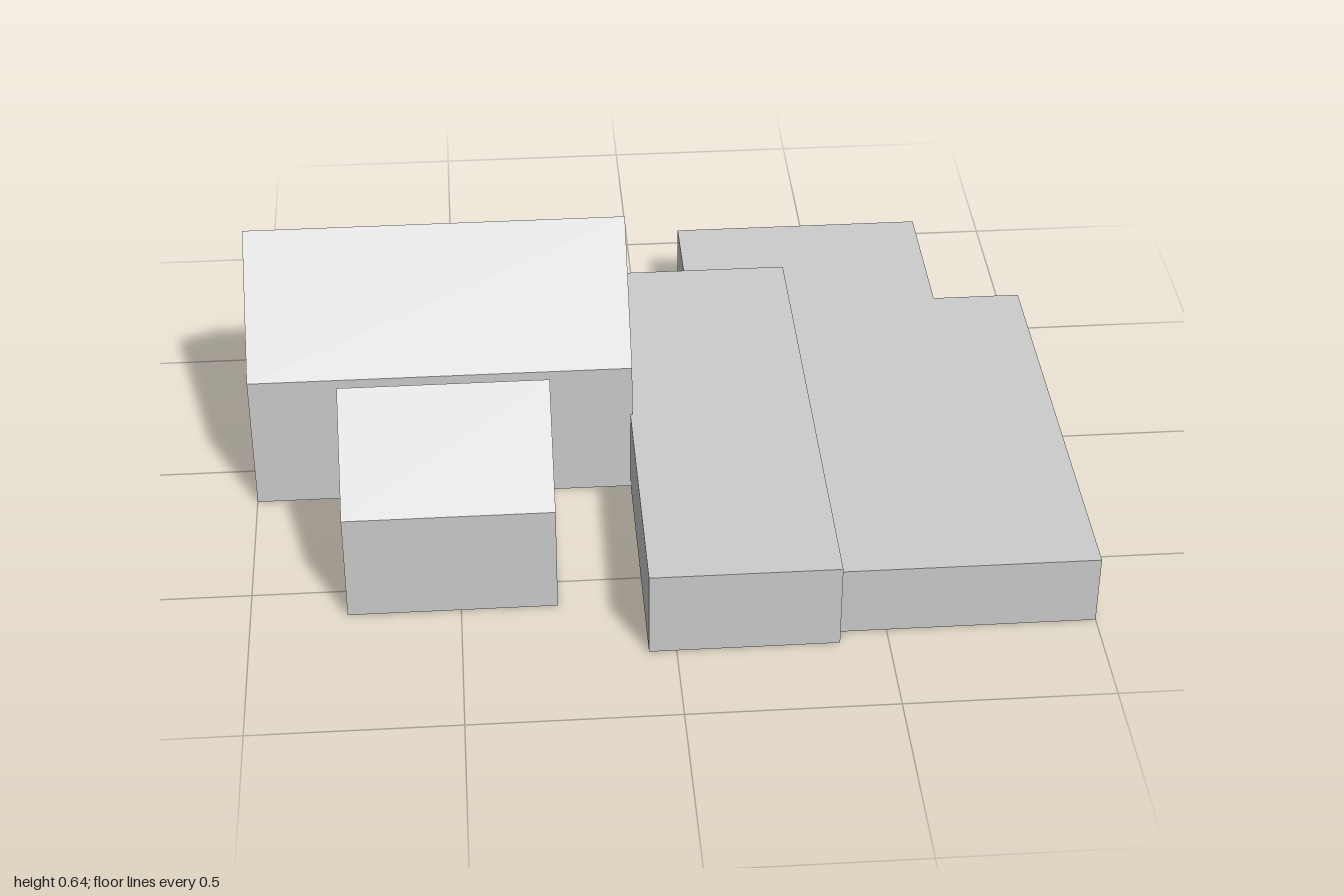
import * as THREE from 'three';
import { mergeGeometries } from 'three/addons/utils/BufferGeometryUtils.js';

const stone = new THREE.MeshStandardMaterial({ color: 0xcccccc });
stone.name = 'pale stone';

const vec2 = (pts) => pts.map(([x, y]) => new THREE.Vector2(x, y));

// Flat four-cornered face, corners counter-clockwise from its front
function quad(a, b, c, d) {
  const g = new THREE.BufferGeometry();
  g.setAttribute('position', new THREE.Float32BufferAttribute([a, b, c, a, c, d].flat(), 3));
  g.computeVertexNormals();
  return g;
}

// Flat face in the xy plane, facing +z
function face(outline, holes = [], z = 0) {
  const shape = new THREE.Shape(vec2(outline));
  for (const h of holes) shape.holes.push(new THREE.Path(vec2(h)));
  const g = new THREE.ShapeGeometry(shape).toNonIndexed();
  g.deleteAttribute('uv');
  return g.translate(0, 0, z);
}

// Pointed arch outline, counter-clockwise
function arch(x, bottom, top, width) {
  const w = width / 2;
  const spring = top - 0.05;
  return [
    [x - w, bottom], [x + w, bottom], [x + w, spring], [x + w * 0.7, spring + 0.026],
    [x, top], [x - w * 0.7, spring + 0.026], [x - w, spring],
  ];
}

// Wall with recessed arched openings
function nichedWall(outline, arches, depth) {
  const parts = [face(outline, arches)];
  for (const pts of arches) {
    parts.push(face(pts, [], -depth));
    pts.forEach(([x, y], i) => {
      const [u, v] = pts[(i + 1) % pts.length];
      parts.push(quad([x, y, 0], [u, v, 0], [u, v, -depth], [x, y, -depth]));
    });
  }
  return mergeGeometries(parts);
}

export function createModel() {
  const model = new THREE.Group();
  model.name = 'churchAndAnnexes';

  const add = (name, geometry, parent = model) => {
    const mesh = new THREE.Mesh(geometry, stone);
    mesh.name = name;
    parent.add(mesh);
    return mesh;
  };

  // Main hall: shell of walls and roof slopes
  const x0 = -1, x1 = -0.06, z0 = -0.38, z1 = 0.13, zr = -0.125;
  const eave = 0.36, ridge = 0.64, depth = 0.035;
  const hall = new THREE.Group();
  hall.name = 'mainHall';
  model.add(hall);

  const backWindows = [0.275, 0.46, 0.645, 0.825].map((x) => arch(x, 0.1, 0.285, 0.06));
  add('backWall', nichedWall([[-x1, 0], [-x0, 0], [-x0, eave], [-x1, eave]], backWindows, depth)
    .rotateY(Math.PI).translate(0, 0, z0), hall);

  const gable = [[z0, 0], [z1, 0], [z1, eave], [zr, ridge], [z0, eave]];
  const doorAndWindows = [
    arch(-0.26, 0.1, 0.285, 0.065),
    arch(zr, 0.005, 0.18, 0.07),
    arch(0.01, 0.1, 0.285, 0.065),
  ];
  add('entranceGable', nichedWall(gable, doorAndWindows, depth)
    .rotateY(-Math.PI / 2).translate(x0, 0, 0), hall);
  add('plainGable', face(gable.map(([z, y]) => [-z, y]).reverse())
    .rotateY(Math.PI / 2).translate(x1, 0, 0), hall);

  add('frontWall', quad([x0, 0, z1], [x1, 0, z1], [x1, eave, z1], [x0, eave, z1]), hall);
  add('frontRoof', quad([x0, eave, z1], [x1, eave, z1], [x1, ridge, zr], [x0, ridge, zr]), hall);
  add('backRoof', quad([x1, eave, z0], [x0, eave, z0], [x0, ridge, zr], [x1, ridge, zr]), hall);
  add('hallFloor', quad([x0, 0, z0], [x1, 0, z0], [x1, 0, z1], [x0, 0, z1]), hall);

  // Small gabled wing, its back roof running into the hall
  const wing = new THREE.Shape(vec2([[-0.59, 0], [-0.125, 0], [-0.125, 0.255], [-0.37, 0.505], [-0.59, 0.28]]));
  add('frontWing', new THREE.ExtrudeGeometry(wing, { depth: 0.5, bevelEnabled: false })
    .rotateY(Math.PI / 2).translate(-0.77, 0, 0));

  // Long flat-roofed block beside the hall
  add('middleBlock', new THREE.BoxGeometry(0.45, 0.22, 1.29).translate(0.16, 0.11, 0.13));

  // Lower flat-roofed annex with stepped outline (x, -z)
  const annex = new THREE.Shape(vec2([
    [0.125, 0.78], [0.125, 0.515], [0.385, 0.515], [0.385, -0.735],
    [1, -0.735], [1, 0.395], [0.775, 0.395], [0.775, 0.78],
  ]));
  add('lowAnnex', new THREE.ExtrudeGeometry(annex, { depth: 0.18, bevelEnabled: false })
    .rotateX(-Math.PI / 2));

  return model;
}
